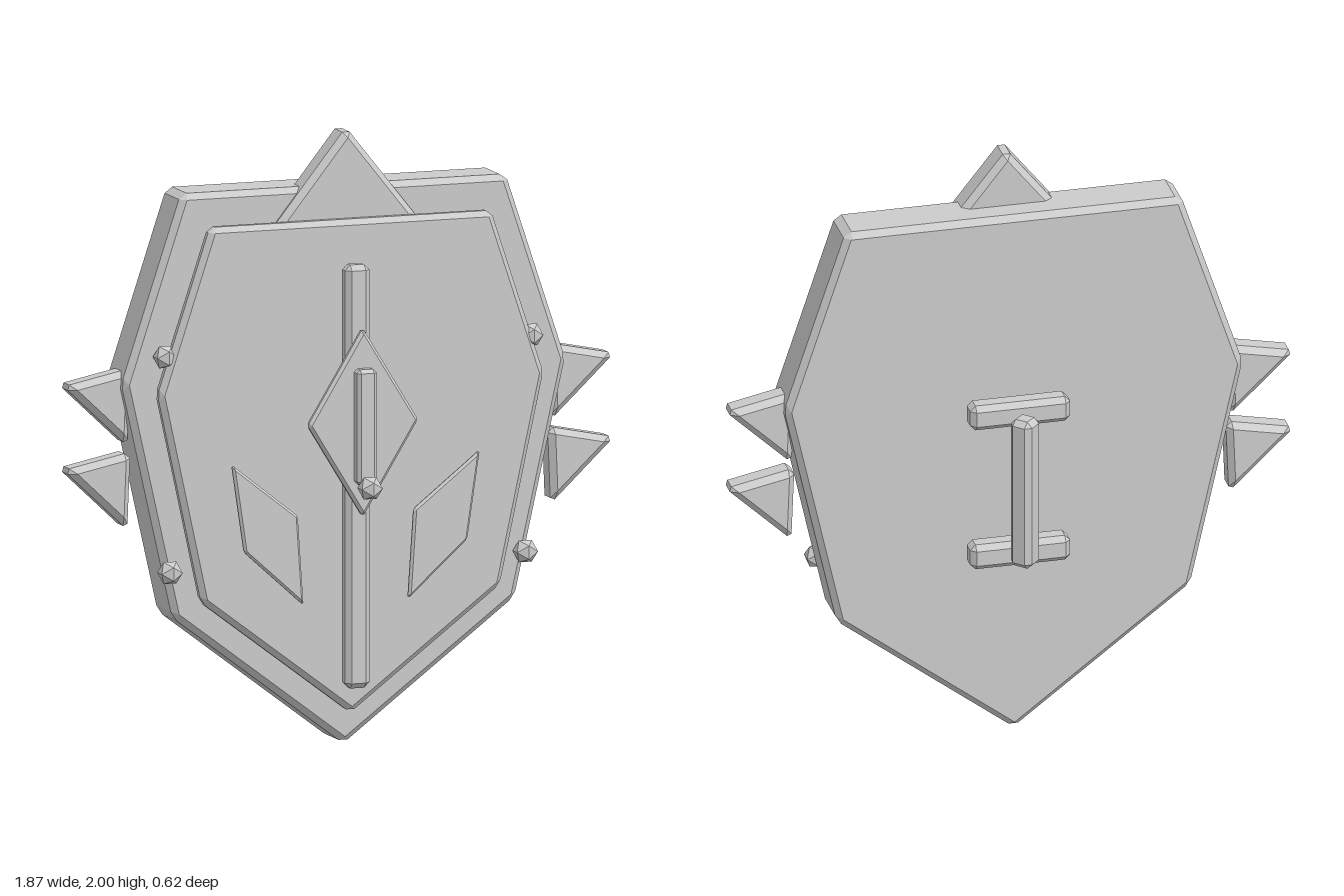
import * as THREE from 'three';
import { ConvexGeometry } from 'three/addons/geometries/ConvexGeometry.js';

const material = new THREE.MeshStandardMaterial({ color: 0xcccccc, flatShading: true });

// Convex plate between two depths, every edge chamfered by b.
function plate(outline, back, front, b) {
  const pts = outline.map(([x, y]) => new THREE.Vector2(x, y));
  const hull = [];
  pts.forEach((p, i) => {
    const u = pts[(i + pts.length - 1) % pts.length].clone().sub(p).normalize();
    const v = pts[(i + 1) % pts.length].clone().sub(p).normalize();
    const inset = p.clone().addScaledVector(u.clone().add(v), b / Math.abs(u.cross(v)));
    for (const z of [back, front]) hull.push(new THREE.Vector3(inset.x, inset.y, z));
    for (const dir of [u, v]) {
      const q = p.clone().addScaledVector(dir, b);
      for (const z of [back + b, front - b]) hull.push(new THREE.Vector3(q.x, q.y, z));
    }
  });
  return new ConvexGeometry(hull);
}

// Chamfered bar, symmetric about x = 0.
const bar = (halfWidth, y0, y1, back, front, b) =>
  plate([[-halfWidth, y0], [halfWidth, y0], [halfWidth, y1], [-halfWidth, y1]], back, front, b);

// Closed outline from its right half; points on the centre line are not doubled.
const mirrored = (half) =>
  [...half, ...half.filter(([x]) => x > 0).reverse().map(([x, y]) => [-x, y])];

export function createModel() {
  const group = new THREE.Group();
  const add = (name, geometry, x = 0, y = 0, z = 0) => {
    const mesh = new THREE.Mesh(geometry, material);
    mesh.name = name;
    mesh.position.set(x, y, z);
    group.add(mesh);
    return mesh;
  };

  // Shield body and raised front panel
  const bodyHalf = [[0, -0.012], [0.59, 0.435], [0.765, 1.21], [0.56, 1.825]];
  add('shieldBody', plate(mirrored(bodyHalf).reverse(), -0.132, 0.042, 0.02));
  const panelHalf = [[0, 0.1], [0.515, 0.49], [0.665, 1.18], [0.485, 1.72]];
  add('frontPanel', plate(mirrored(panelHalf).reverse(), 0.053, 0.108, 0.018));

  // Centre decoration
  add('centreRib', bar(0.042, 0.19, 1.58, 0.11, 0.172, 0.018));
  add('diamondPlate', plate([[0, 0.76], [0.19, 1.07], [0, 1.38], [-0.19, 1.07]], 0.185, 0.217, 0.01));
  add('emblemBar', bar(0.034, 0.87, 1.25, 0.2, 0.255, 0.012));
  add('gem', new THREE.IcosahedronGeometry(0.042), 0, 0.865, 0.275);

  // Crest spike at the top
  add('crestSpike', plate([[-0.255, 1.695], [0.255, 1.695], [0, 2.015]], -0.042, 0.069, 0.02));

  // Parts repeated on both sides
  for (const [side, s] of [['left', 1], ['right', -1]]) {
    const flip = (outline) => outline.map(([x, y]) => [s * x, y]);
    const spike = plate(flip([[0.95, 1.208], [0.72, 1.255], [0.73, 1.0]]), -0.09, 0.003, 0.02);
    add(side + 'UpperSpike', spike);
    add(side + 'LowerSpike', spike, 0, -0.275, 0);
    add(side + 'Inlay',
      plate(flip([[0.428, 0.945], [0.385, 0.655], [0.18, 0.47], [0.2, 0.765]]), 0.127, 0.148, 0.008));
    add(side + 'UpperStud', new THREE.IcosahedronGeometry(0.042), s * 0.63, 1.3, 0.07);
    add(side + 'LowerStud', new THREE.IcosahedronGeometry(0.042), s * 0.613, 0.59, 0.065);
  }

  // Handle on the back: two brackets and a grip turned onto its edge
  add('upperBracket', bar(0.167, 1.11, 1.197, -0.222, -0.143, 0.018));
  add('lowerBracket', bar(0.167, 0.612, 0.699, -0.222, -0.143, 0.018));
  const grip = add('grip', bar(0.04, 0.64, 1.165, -0.04, 0.04, 0.018), 0, 0, -0.267);
  grip.rotation.y = Math.PI / 4;

  return group;
}
